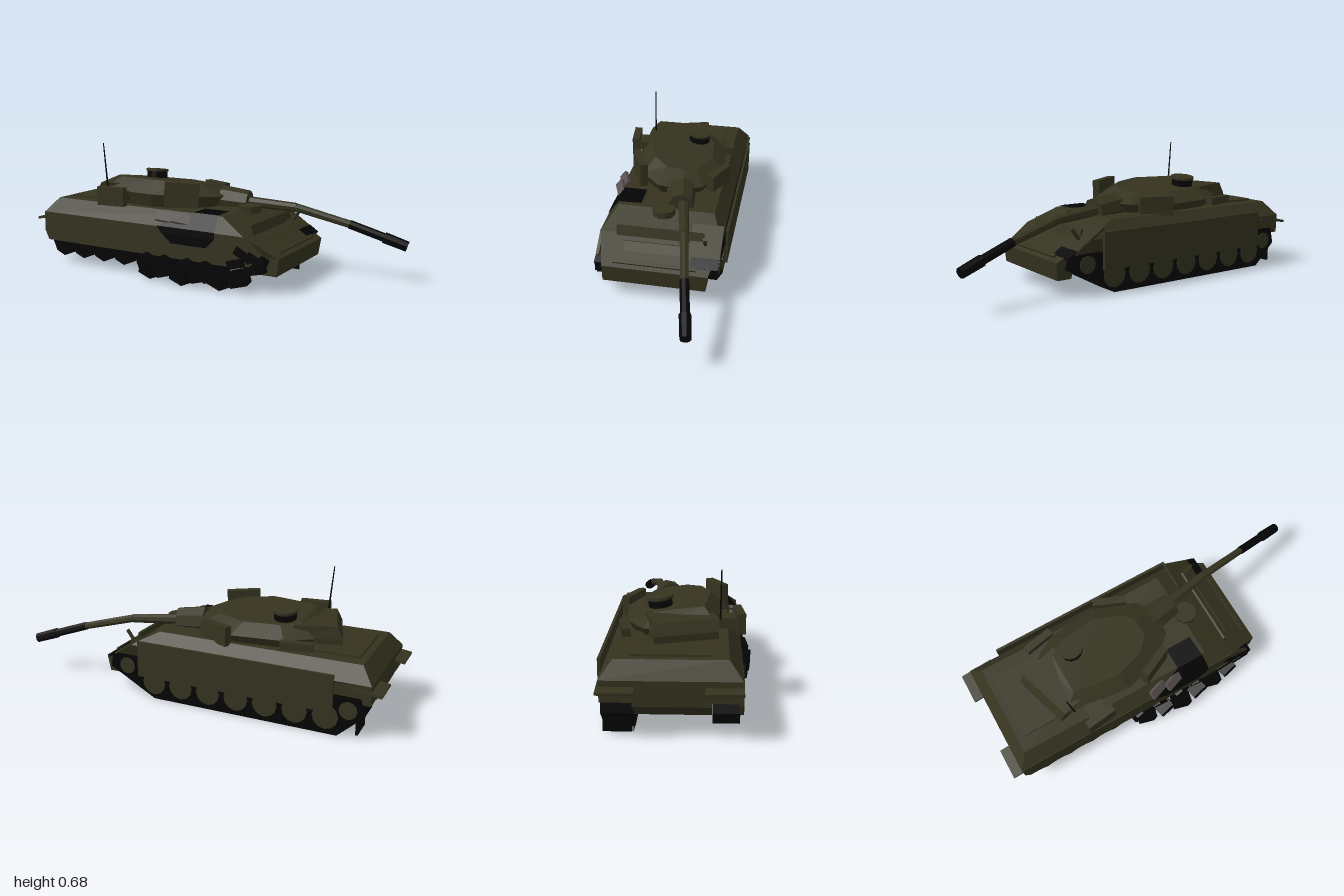
import * as THREE from 'three';

const mat = (name, color) => {
  const m = new THREE.MeshStandardMaterial({ color });
  m.name = name;
  return m;
};

export function createModel() {
  const group = new THREE.Group();
  const olive = mat('olive paint', 0x35331f);
  const black = mat('burnt black', 0x040404);
  const grey = mat('bare torn metal', 0x5a5150);

  // Helpers
  const add = (name, geo, m, pos = [0, 0, 0], rot = [0, 0, 0]) => {
    const g = geo.index ? geo.toNonIndexed() : geo;
    g.computeVertexNormals();
    const mesh = new THREE.Mesh(g, m);
    mesh.name = name;
    mesh.position.set(...pos);
    mesh.rotation.set(...rot);
    group.add(mesh);
    return mesh;
  };
  const box = (name, m, size, pos, rot) => add(name, new THREE.BoxGeometry(...size), m, pos, rot);
  const disc = (name, m, r, h, pos, rot, sides = 10) =>
    add(name, new THREE.CylinderGeometry(r, r, h, sides), m, pos, rot);
  // Skin over rings that run counter-clockwise seen from above, bottom ring first
  const loft = (rings, closed = true) => {
    const v = [], n = rings[0].length;
    const tri = (...p) => p.forEach(q => v.push(...q));
    for (let k = 0; k < rings.length - 1; k++)
      for (let i = 0; i < (closed ? n : n - 1); i++) {
        const j = (i + 1) % n, [lo, hi] = [rings[k], rings[k + 1]];
        tri(lo[i], lo[j], hi[j]);
        tri(lo[i], hi[j], hi[i]);
      }
    if (closed) {
      const [lo, hi] = [rings[0], rings[rings.length - 1]];
      for (let i = 1; i < n - 1; i++) {
        tri(lo[0], lo[i + 1], lo[i]);
        tri(hi[0], hi[i], hi[i + 1]);
      }
    }
    const g = new THREE.BufferGeometry();
    g.setAttribute('position', new THREE.Float32BufferAttribute(v, 3));
    return g;
  };
  // Side profile extruded from z0 to z1
  const profile = (name, m, pts, z0, z1) => add(name, new THREE.ExtrudeGeometry(
    new THREE.Shape(pts.map(p => new THREE.Vector2(...p))), { depth: z1 - z0, bevelEnabled: false }), m, [0, 0, z0]);
  const rod = (name, m, a, b, r0, r1, sides = 8) => {
    const A = new THREE.Vector3(...a), B = new THREE.Vector3(...b), d = B.clone().sub(A);
    const mesh = add(name, new THREE.CylinderGeometry(r1, r0, d.length(), sides), m, A.clone().add(B).multiplyScalar(0.5).toArray());
    mesh.quaternion.setFromUnitVectors(new THREE.Vector3(0, 1, 0), d.normalize());
  };

  // Hull
  profile('lowerHull', olive, [[-0.86, 0.09], [0.49, 0.09], [0.5, 0.18], [0.38, 0.26], [-0.94, 0.26], [-0.94, 0.16]], -0.195, 0.15);
  const level = (y, x0, x1, z0, z1, f0 = z0, f1 = z1) => [[x0, y, z1], [x1, y, f1], [x1, y, f0], [x0, y, z0]];
  add('upperHull', loft([
    level(0.18, -0.945, 0.51, -0.335, 0.275, -0.295, 0.24),
    level(0.28, -0.945, 0.34, -0.34, 0.285),
    level(0.357, -0.885, 0.19, -0.28, 0.225)]), olive);
  add('nose', loft([
    level(0.09, 0.42, 0.5, -0.285, 0.24),
    level(0.181, 0.42, 0.512, -0.295, 0.24)]), olive);
  profile('leftSkirt', olive, [[-0.92, 0.12], [0.36, 0.12], [0.44, 0.2], [0.34, 0.28], [-0.945, 0.28], [-0.945, 0.17]], 0.272, 0.288);
  box('rightSkirt', olive, [1.05, 0.19, 0.014], [-0.245, 0.22, -0.358]);
  box('engineDeck', olive, [0.32, 0.014, 0.36], [-0.69, 0.36, -0.03]);
  box('splashBoard', olive, [0.012, 0.055, 0.45], [0.34, 0.294, -0.025], [0, 0, 0.3]);
  box('noseRib', olive, [0.02, 0.02, 0.42], [0.48, 0.197, -0.025], [0, 0, -0.5]);
  disc('driverHatch', olive, 0.06, 0.035, [0.215, 0.36, -0.02]);

  // Rear mudguards, and the flap behind the right track
  for (const z of [-0.265, 0.205])
    box('rearMudguard', olive, [0.18, 0.012, 0.165], [-0.908, 0.252, z], [0, 0, 0.15]);
  box('rearFlap', black, [0.012, 0.12, 0.13], [-0.885, 0.08, -0.265]);

  // Bent front mudguard on the right
  box('frontMudguard', olive, [0.2, 0.012, 0.16], [0.35, 0.275, -0.262], [0, 0, -0.6]);
  box('mudguardTip', black, [0.06, 0.012, 0.14], [0.445, 0.215, -0.27], [0, 0, -0.6]);
  rod('mudguardStrut', olive, [0.35, 0.26, -0.26], [0.4, 0.33, -0.26], 0.01, 0.01, 5);

  // Right track with road wheels, and the plate closing its inner side
  profile('rightTrack', black, [[-0.79, 0], [0.2, 0], [0.46, 0.14], [0.45, 0.21], [-0.9, 0.21], [-0.92, 0.12]], -0.335, -0.195);
  add('rightTrackInnerPlate', new THREE.PlaneGeometry(1.32, 0.12), black, [-0.23, 0.075, -0.194]);
  const across = [Math.PI / 2, 0, 0];
  for (let i = 0; i < 7; i++)
    disc('rightWheel', olive, 0.065, 0.012, [-0.73 + i * 0.155, 0.09, -0.333], across, 12);
  for (const [x, y] of [[-0.84, 0.14], [0.36, 0.16]])
    disc('rightEndWheel', olive, 0.045, 0.012, [x, y, -0.333], across, 12);

  // Left running gear: intact at the rear, broken and pushed outward at the front
  for (let i = 0; i < 4; i++)
    disc('leftWheel', black, 0.08, 0.12, [-0.82 + i * 0.14, 0.115, 0.213], across, 8);
  for (let i = 0; i < 4; i++)
    disc('brokenWheel', black, 0.06, 0.15, [-0.24 + i * 0.125, 0.075, 0.225],
      [Math.PI / 2, 0, 0.12 * (i % 2 ? 1 : -1)], 8);
  for (let i = 0; i < 6; i++) {
    const s = i % 2 ? 1 : -1;
    box('trackLink', black, [0.09, 0.075, 0.085], [-0.21 + i * 0.105, 0.06 + 0.008 * s, 0.312 - 0.012 * Math.abs(i - 2)],
      [0, 0.2 * s, 0.25 * s]);
  }
  box('debris', olive, [0.06, 0.016, 0.045], [0, 0.009, 0.243]);
  for (const [x, y, a] of [[0.3, 0.14, 0.3], [0.34, 0.19, -0.5], [0.41, 0.17, -0.45], [0.4, 0.12, 0.25]])
    box('brokenSprocketPiece', black, [0.1, 0.045, 0.05], [x, y, 0.267], [0, 0, a]);

  // Burnt breach in the left side and deck, with torn strips
  const row = (y, z, x0, x1) => [[x0, y, z], [x1, y, z]];
  add('breach', loft([
    row(0.2, 0.293, -0.08, 0.13), row(0.25, 0.293, -0.14, 0.18), row(0.284, 0.291, -0.17, 0.18),
    row(0.362, 0.231, 0.02, 0.17), row(0.362, 0.11, 0.02, 0.165)], false), black);
  for (const x of [-0.125, -0.03])
    box('tornStrip', grey, [0.1, 0.02, 0.05], [x, 0.328, 0.27], [0.9, 0.1, -0.4]);

  // Turret, turned slightly to the right, with a roof sloping to the right
  const outline = [[-0.61, 0.17], [-0.26, 0.215], [-0.05, 0.15], [0.06, 0.04], [0.06, -0.1],
    [0.01, -0.19], [-0.21, -0.28], [-0.48, -0.25], [-0.61, -0.17]];
  const ring = (s, y) => outline.map(([x, z]) => {
    const px = -0.33 + (x + 0.33) * s, pz = -0.03 + (z + 0.03) * s;
    return [px, y(px, pz), pz];
  });
  add('turret', loft([
    ring(0.88, () => 0.35),
    ring(1, (x, z) => 0.415 + 0.06 * z),
    ring(0.7, (x, z) => 0.478 + 0.12 * z - 0.05 * Math.max(0, x + 0.2))]), olive);
  const bustle = [[-0.645, 0.18], [-0.48, 0.14], [-0.5, -0.17], [-0.735, -0.11]];
  add('turretBustle', loft([[0.372, 0], [0.405, 0], [0.46, 0.03]].map(([y, inset]) =>
    bustle.map(([x, z], i) => [i % 3 ? x : x + inset, y, z]))), olive);

  // Turret boxes
  box('leftFrontBox', olive, [0.18, 0.13, 0.04], [-0.088, 0.435, 0.172], [0, 0.45, -0.04]);
  box('leftRearBox', olive, [0.16, 0.1, 0.04], [-0.467, 0.41, 0.277], [0, 0.12, 0]);
  box('leftBoxBracket', olive, [0.1, 0.05, 0.1], [-0.467, 0.405, 0.22]);
  box('rightFrontBox', olive, [0.18, 0.1, 0.04], [-0.12, 0.395, -0.258], [0, -0.4, 0]);
  box('rightRearBox', olive, [0.16, 0.04, 0.04], [-0.55, 0.39, -0.262], [0, 0.2, 0]);

  // Cupola and aerial
  disc('cupola', black, 0.058, 0.06, [-0.43, 0.475, -0.1], [-0.12, 0, 0], 12);
  disc('cupolaLid', olive, 0.064, 0.014, [-0.43, 0.509, -0.102], [-0.12, 0, 0], 12);
  rod('aerial', black, [-0.565, 0.44, 0.186], [-0.586, 0.682, 0.189], 0.005, 0.003, 5);

  // Faceted mantlet and drooping gun
  rod('mantlet', olive, [0.02, 0.382, -0.075], [0.17, 0.372, -0.1], 0.078, 0.068);
  const gun = [[0.1, 0.382, -0.1], [0.42, 0.362, -0.162], [0.7, 0.292, -0.214], [0.875, 0.235, -0.249], [0.992, 0.196, -0.272]];
  rod('gunSleeve', olive, gun[0], gun[1], 0.03, 0.024);
  rod('gunBarrel', olive, gun[1], gun[2], 0.022, 0.02);
  rod('burntBarrel', black, gun[2], gun[3], 0.023, 0.023);
  rod('muzzle', black, gun[3], gun[4], 0.029, 0.027);

  return group;
}
